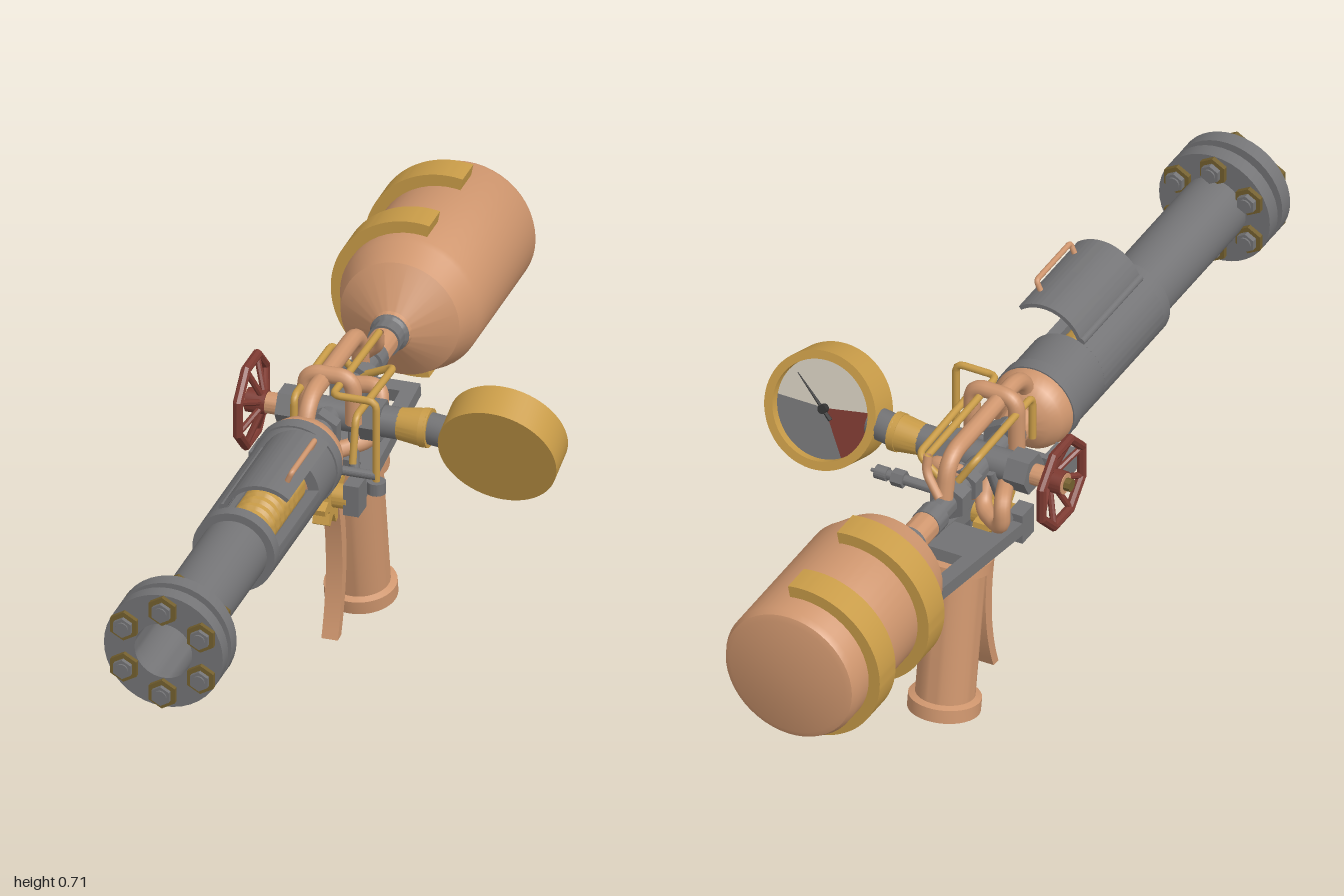
import * as THREE from 'three';
import { toCreasedNormals } from 'three/addons/utils/BufferGeometryUtils.js';

const mat = (color) => new THREE.MeshStandardMaterial({ color, side: THREE.DoubleSide });
const V = (x, y, z) => new THREE.Vector3(x, y, z);
const PI = Math.PI, deg = PI / 180;
const CX = -0.152, CY = 0.53; // bore axis

export function createModel() {
  const model = new THREE.Group();
  const copper = mat(0xcf966e), steel = mat(0x747476), brass = mat(0xc99c48);
  const darkBrass = mat(0x74602f), red = mat(0x7d3a31), pale = mat(0xcfc8ba), dark = mat(0x333333);

  const add = (parent, name, geo, material, x = 0, y = 0, z = 0) => {
    const m = new THREE.Mesh(geo, material);
    m.name = name;
    m.position.set(x, y, z);
    parent.add(m);
    return m;
  };
  const group = (name, x = 0, y = 0, z = 0, parent = model) => {
    const g = new THREE.Group();
    g.name = name;
    g.position.set(x, y, z);
    parent.add(g);
    return g;
  };
  // lathe along z from [radius, z] pairs
  const turned = (pts, seg = 40) => toCreasedNormals(
    new THREE.LatheGeometry(pts.map((p) => new THREE.Vector2(p[0], p[1])), seg).rotateX(PI / 2), 0.5);
  const sleeve = (R, r, z0, z1) => turned([[r, z0], [R, z0], [R, z1], [r, z1], [r, z0]]);
  // curved plate: ring sector extruded along z
  const arcPlate = (R, r, a0, a1, z0, z1) => {
    const s = new THREE.Shape();
    s.absarc(0, 0, R, a0 * deg, a1 * deg, false);
    s.absarc(0, 0, r, a1 * deg, a0 * deg, true);
    const g = new THREE.ExtrudeGeometry(s, { depth: z1 - z0, bevelEnabled: false, curveSegments: 32 });
    return toCreasedNormals(g.translate(0, 0, z0), 0.5);
  };
  // straight rod between two points; few sides give a nut
  const rod = (parent, name, a, b, r, material, sides = 20, r2 = r) => {
    const d = b.clone().sub(a);
    const g = toCreasedNormals(new THREE.CylinderGeometry(r2, r, d.length(), sides), 0.5);
    const m = add(parent, name, g, material);
    m.position.copy(a).add(b).multiplyScalar(0.5);
    m.quaternion.setFromUnitVectors(V(0, 1, 0), d.normalize());
    return m;
  };
  // pipe through points with rounded corners
  const pipe = (parent, name, pts, r, material, bend = 0.035) => {
    const path = new THREE.CurvePath();
    let from = pts[0];
    for (let i = 1; i < pts.length - 1; i++) {
      const toward = (q) => {
        const d = q.clone().sub(pts[i]);
        return pts[i].clone().addScaledVector(d.clone().normalize(), Math.min(bend, d.length() * 0.48));
      };
      const a = toward(pts[i - 1]), b = toward(pts[i + 1]);
      path.add(new THREE.LineCurve3(from, a));
      path.add(new THREE.QuadraticBezierCurve3(a, pts[i], b));
      from = b;
    }
    path.add(new THREE.LineCurve3(from, pts[pts.length - 1]));
    return add(parent, name, new THREE.TubeGeometry(path, 60, r, 12), material);
  };

  // Barrel, breech and muzzle flange
  const barrel = group('barrel', CX, CY, 0);
  add(barrel, 'frontTube', sleeve(0.073, 0.063, 0.5, 0.95), steel);
  add(barrel, 'breechRear', sleeve(0.09, 0.066, 0.09, 0.23), steel);
  add(barrel, 'breechFront', sleeve(0.09, 0.063, 0.49, 0.52), steel);
  add(barrel, 'breechTray', arcPlate(0.09, 0.066, 112, 368, 0.23, 0.49), steel);
  add(barrel, 'breechRing', sleeve(0.094, 0.08, 0.09, 0.122), steel);
  add(barrel, 'rearFlange', sleeve(0.13, 0.07, 0.885, 0.92), steel);
  add(barrel, 'gasket', sleeve(0.1, 0.064, 0.915, 0.945), steel);
  add(barrel, 'frontFlange', sleeve(0.13, 0.063, 0.94, 0.975), steel);
  for (let i = 0; i < 6; i++) {
    const a = (90 + i * 60) * deg, x = Math.cos(a) * 0.097, y = Math.sin(a) * 0.097;
    const seg = (n, z0, z1, r, m, s) => rod(barrel, n, V(x, y, z0), V(x, y, z1), r, m, s);
    seg('flangeBolt', 0.858, 1, 0.014, steel, 16);
    seg('frontNut', 0.975, 0.986, 0.033, darkBrass, 6);
    seg('frontBoltHead', 0.986, 0.996, 0.022, steel, 6);
    seg('rearNut', 0.874, 0.885, 0.033, darkBrass, 6);
    seg('rearBoltHead', 0.862, 0.874, 0.022, steel, 6);
  }

  // Ribbed shell in the open breech
  const ribs = [[0, 0.2], [0.05, 0.2]];
  for (let i = 0; i < 6; i++) {
    const z = 0.25 + i * 0.03;
    ribs.push([0.05, z], [0.043, z + 0.006], [0.043, z + 0.014], [0.05, z + 0.02]);
  }
  ribs.push([0.049, 0.45], [0.032, 0.478], [0, 0.478]);
  add(barrel, 'shell', turned(ribs), brass);
  add(barrel, 'shellTip', turned([[0.024, 0.47], [0.024, 0.488], [0.018, 0.495], [0, 0.495]]), steel);

  // Breech cover swung open on its top hinge
  const cover = group('breechCover', 0.052, 0.056, 0, barrel);
  add(cover, 'coverPlate', arcPlate(0.092, 0.083, 50, 162, 0.23, 0.49), steel);
  rod(cover, 'coverHinge', V(-0.086, 0.028, 0.23), V(-0.086, 0.028, 0.49), 0.009, steel);
  const at = (r, z) => V(Math.cos(66 * deg) * r, Math.sin(66 * deg) * r, z);
  pipe(cover, 'coverHandle', [at(0.088, 0.285), at(0.116, 0.285), at(0.116, 0.435), at(0.088, 0.435)], 0.006, copper, 0.008);

  // Copper dome and central pipe run
  add(barrel, 'dome', turned([[0, -0.01], [0.035, -0.01], [0.04, 0.025], [0.065, 0.035], [0.083, 0.055], [0.091, 0.08], [0.091, 0.1], [0, 0.1]]), copper);
  add(barrel, 'spine', turned([[0, -0.39], [0.033, -0.39], [0.033, -0.35], [0.026, -0.35], [0.026, -0.06], [0.034, -0.06], [0.034, 0], [0, 0]]), steel);
  add(barrel, 'feedPipe', turned([[0, -0.48], [0.031, -0.48], [0.031, -0.37], [0, -0.37]]), copper);
  for (const [z0, z1, r] of [[-0.3, -0.26, 0.044], [-0.235, -0.205, 0.04], [-0.06, -0.03, 0.046]])
    rod(barrel, 'spineNut', V(0, 0, z0), V(0, 0, z1), r, steel, 6);

  // Bottle with neck and clasp bands
  add(barrel, 'bottle', turned([[0, -1], [0.135, -1], [0.148, -0.995], [0.155, -0.98], [0.155, -0.63], [0.15, -0.618],
    [0.13, -0.56], [0.045, -0.505], [0.04, -0.49], [0, -0.49]], 48), copper);
  add(barrel, 'bottleNeck', turned([[0, -0.51], [0.042, -0.51], [0.042, -0.49], [0.036, -0.485], [0.036, -0.455], [0, -0.455]]), steel);
  for (const z of [-0.718, -0.934])
    add(barrel, 'bottleBand', arcPlate(0.181, 0.152, 79, 281, z, z + 0.07), brass);

  // Cross valve and handwheel
  const valve = group('valve', 0, CY, -0.125);
  rod(valve, 'valveBody', V(-0.25, 0, 0), V(0, 0, 0), 0.034, steel);
  rod(valve, 'valveNut', V(-0.265, 0, 0), V(-0.215, 0, 0), 0.045, steel, 6);
  rod(valve, 'valveNut', V(-0.085, 0, 0), V(-0.04, 0, 0), 0.045, steel, 6);
  rod(valve, 'valveStem', V(-0.34, 0, 0), V(-0.25, 0, 0), 0.023, copper);
  rod(valve, 'wheelCap', V(-0.354, 0, 0), V(-0.335, 0, 0), 0.014, darkBrass, 8);
  const wheel = group('handwheel', -0.33, 0, 0, valve);
  wheel.rotation.y = -PI / 2;
  const rim = new THREE.TorusGeometry(0.096, 0.011, 8, 8).rotateZ(PI / 8);
  add(wheel, 'wheelRim', toCreasedNormals(rim, 0.3), red);
  rod(wheel, 'wheelHub', V(0, 0, -0.035), V(0, 0, 0.008), 0.026, red);
  for (let i = 0; i < 8; i++) {
    const a = (i + 0.5) * PI / 4, c = Math.cos(a), s = Math.sin(a);
    rod(wheel, 'wheelSpoke', V(c * 0.02, s * 0.02, -0.024), V(c * 0.093, s * 0.093, 0), 0.007, red, 8);
  }

  // Gauge with its neck
  rod(valve, 'gaugeCollar', V(-0.005, 0, 0), V(0.058, 0, 0), 0.034, brass, 24, 0.042);
  rod(valve, 'gaugeCollarLip', V(0.045, 0, 0), V(0.062, 0, 0), 0.042, brass);
  rod(valve, 'gaugeNeck', V(0.06, 0, 0), V(0.115, 0, 0.01), 0.034, steel);
  const gauge = group('gauge', 0.224, CY, -0.112);
  gauge.lookAt(0.224, CY + 0.326, -0.112 - 0.946);
  add(gauge, 'gaugeCase', turned([[0, -0.04], [0.129, -0.04], [0.129, 0.04], [0.11, 0.04], [0.11, 0.015], [0, 0.015]], 56), brass);
  for (const [name, a, l, m] of [['gaugeDial', 10, 170, pale], ['gaugeDialLow', 180, 120, steel], ['gaugeRedZone', 300, 70, red]])
    add(gauge, name, new THREE.CircleGeometry(0.11, 32, a * deg, l * deg), m, 0, 0, 0.018);
  rod(gauge, 'needle', V(0.02, -0.02, 0.024), V(-0.07, 0.06, 0.024), 0.005, dark, 8, 0.001);
  rod(gauge, 'needlePin', V(0, 0, 0.016), V(0, 0, 0.032), 0.01, dark);

  // Plumbing above and beside the spine
  const plumbing = group('plumbing');
  pipe(plumbing, 'overheadPipe', [V(CX, 0.56, 0.07), V(CX, 0.645, 0.03), V(CX, 0.638, -0.29), V(CX, 0.54, -0.31)], 0.019, copper, 0.05);
  pipe(plumbing, 'archPipe', [V(-0.19, 0.53, -0.06), V(-0.19, 0.655, -0.06), V(-0.085, 0.655, -0.06), V(-0.085, 0.55, -0.06)], 0.018, copper);
  pipe(plumbing, 'lowerLoop', [V(-0.2, 0.5, -0.12), V(-0.235, 0.5, -0.21), V(-0.235, 0.43, -0.21), V(-0.16, 0.43, -0.16), V(CX, 0.52, -0.1)], 0.018, copper);
  pipe(plumbing, 'sideLoop', [V(CX, 0.55, -0.22), V(-0.075, 0.56, -0.22), V(-0.075, 0.46, -0.17), V(CX, 0.44, -0.12)], 0.018, copper);
  pipe(plumbing, 'drainPipe', [V(-0.11, 0.637, -0.3), V(-0.11, 0.645, 0.005), V(-0.013, 0.645, 0.005), V(-0.013, 0.455, 0.005)], 0.008, brass, 0.02);
  pipe(plumbing, 'brassLine', [V(-0.195, 0.52, 0), V(-0.195, 0.625, 0), V(-0.195, 0.62, -0.25), V(CX, 0.55, -0.27)], 0.008, brass, 0.02);
  pipe(plumbing, 'brassLineLeft', [V(-0.06, 0.5, 0.02), V(-0.06, 0.6, 0), V(-0.06, 0.59, -0.25), V(CX, 0.54, -0.27)], 0.008, brass, 0.02);
  pipe(plumbing, 'rearLine', [V(-0.11, 0.637, -0.3), V(-0.11, 0.6, -0.31), V(CX, 0.56, -0.33)], 0.01, copper, 0.02);
  rod(plumbing, 'drainCap', V(-0.013, 0.433, 0.005), V(-0.013, 0.46, 0.005), 0.02, steel);
  rod(plumbing, 'crossRod', V(-0.25, 0.472, 0.005), V(-0.013, 0.472, 0.005), 0.01, steel);
  add(plumbing, 'sideBlock', new THREE.BoxGeometry(0.05, 0.05, 0.065), steel, -0.257, 0.473, 0.005);
  rod(plumbing, 'bleedValve', V(-0.1, 0.478, -0.205), V(0.06, 0.478, -0.205), 0.011, steel);
  rod(plumbing, 'bleedNut', V(-0.005, 0.478, -0.205), V(0.022, 0.478, -0.205), 0.019, steel, 6);
  rod(plumbing, 'bleedNut', V(0.035, 0.478, -0.205), V(0.062, 0.478, -0.205), 0.015, steel);
  rod(plumbing, 'bleedPin', V(0.06, 0.478, -0.205), V(0.074, 0.478, -0.205), 0.004, steel);
  for (const s of [-1, 1])
    rod(plumbing, 'bracePost', V(CX + s * 0.05, 0.39, -0.12), V(CX + s * 0.03, 0.53, -0.16), 0.011, steel);

  // Tilted frame and hollow grip
  const frame = group('gripFrame', CX, 0.393, -0.267);
  frame.rotation.x = 0.165;
  for (const s of [-1, 1]) add(frame, 'frameRail', new THREE.BoxGeometry(0.034, 0.03, 0.4), steel, s * 0.061, 0, 0);
  add(frame, 'frameRear', new THREE.BoxGeometry(0.156, 0.03, 0.034), steel, 0, 0, -0.183);
  add(frame, 'frameCentre', new THREE.BoxGeometry(0.11, 0.026, 0.13), steel, 0, 0, 0.02);
  const grip = [[0.045, -0.38], [0.077, -0.38], [0.077, -0.35], [0.063, -0.345], [0.063, -0.05], [0.077, -0.045],
    [0.077, -0.02], [0, -0.015], [0, -0.06], [0.045, -0.06], [0.045, -0.38]];
  add(frame, 'grip', turned(grip).rotateX(-PI / 2), copper, 0, 0, 0.02);

  // Toothed wheel and curved trigger
  const trigger = group('trigger', CX, 0.36, -0.085);
  const gear = new THREE.Shape();
  for (let i = 0; i < 32; i++) {
    const a = (i + 0.5) * PI / 16, r = i % 4 < 2 ? 0.066 : 0.043;
    gear[i ? 'lineTo' : 'moveTo'](Math.cos(a) * r, Math.sin(a) * r);
  }
  const gearGeo = new THREE.ExtrudeGeometry(gear, { depth: 0.036, bevelEnabled: false });
  add(trigger, 'toothedWheel', gearGeo.translate(0, 0, -0.018).rotateY(PI / 2), brass);
  rod(trigger, 'triggerAxle', V(-0.05, 0, 0), V(0.05, 0, 0), 0.026, brass);
  for (const s of [-1, 1]) add(trigger, 'axlePlate', new THREE.BoxGeometry(0.034, 0.07, 0.05), steel, s * 0.061, 0.005, 0);
  rod(trigger, 'triggerLink', V(0, 0.03, 0.02), V(0, 0.11, 0.075), 0.008, steel);
  const blade = new THREE.Shape();
  blade.moveTo(0.022, -0.03);
  blade.quadraticCurveTo(0.075, -0.2, 0.018, -0.352);
  blade.lineTo(0.04, -0.35);
  blade.quadraticCurveTo(0.105, -0.19, 0.048, -0.02);
  const bladeGeo = new THREE.ExtrudeGeometry(blade, { depth: 0.036, bevelEnabled: false, curveSegments: 16 });
  add(trigger, 'triggerBlade', toCreasedNormals(bladeGeo.translate(0, 0, -0.018).rotateY(PI / 2), 0.5), copper);

  return model;
}
